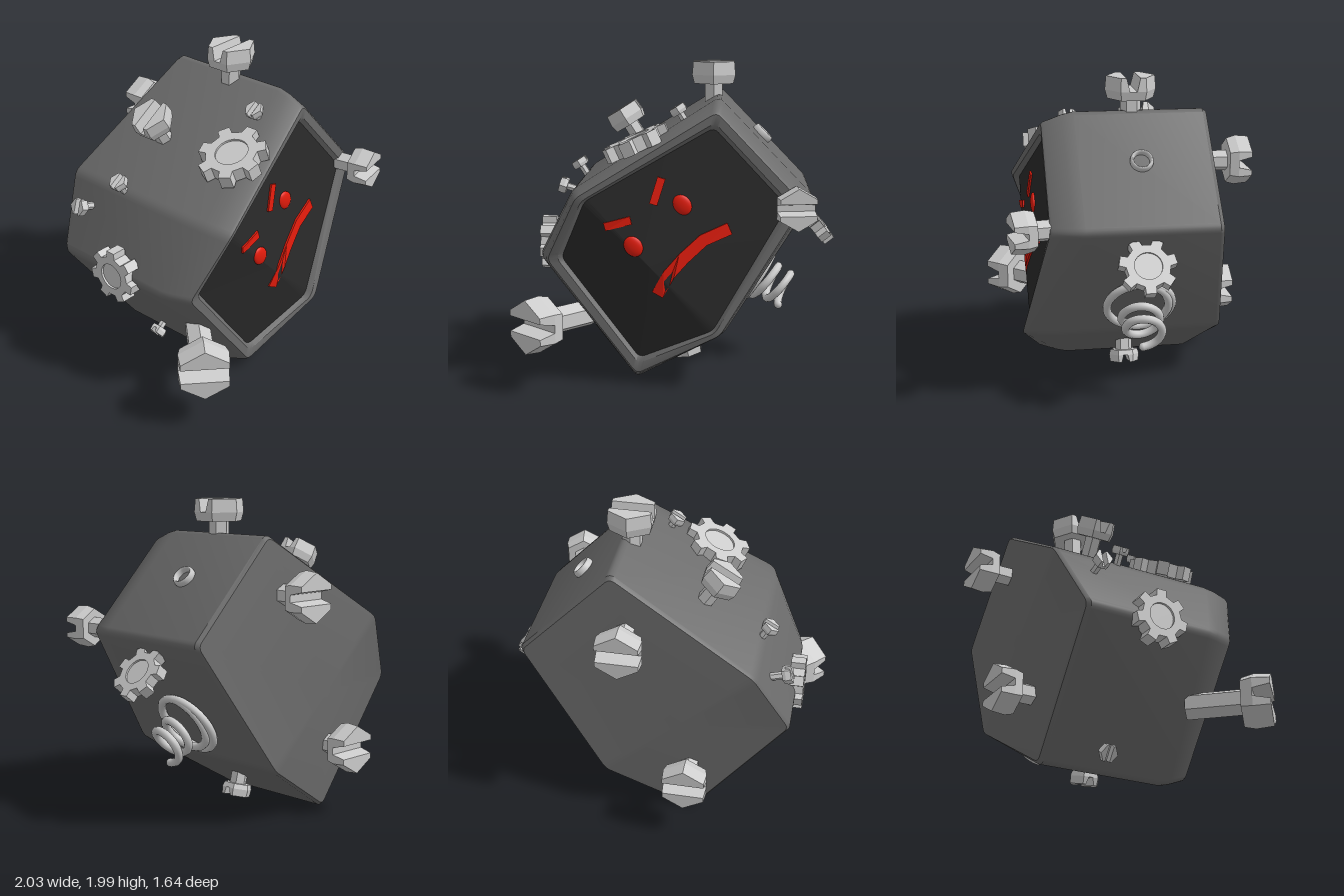
import * as THREE from 'three';
import { toCreasedNormals } from 'three/addons/utils/BufferGeometryUtils.js';

const V = (x, y, z) => new THREE.Vector3(x, y, z);
const mat = (color, side = THREE.FrontSide) => new THREE.MeshStandardMaterial({ color, side });
const grey = mat(0xcccccc);
const greyFlat = mat(0xcccccc);
greyFlat.flatShading = true;
const bodyMat = mat(0x6c6c6c);
const panelMat = mat(0x2a2a2a);
const redMat = mat(0xe51c0c, THREE.DoubleSide);

// Six corners of the block, outer edge and face panel, counter-clockwise
const OUTER = [[0.27, 1.8], [-0.63, 1.24], [-0.86, 0.8], [-0.25, 0], [0.32, 0.36], [0.865, 1.18]];
const PANEL = [[0.24, 1.63], [-0.54, 1.19], [-0.7, 0.82], [-0.22, 0.18], [0.24, 0.39], [0.69, 1.15]];

// Cross-section between outer edge (t = 0) and panel (t = 1), with rounded corners.
// Two opposite corners (1 and 4) lie on a ridge and get their own depth.
function loop(t, z, zRidge, round = 0.04) {
  const c = OUTER.map(([x, y], i) => V(
    x + (PANEL[i][0] - x) * t, y + (PANEL[i][1] - y) * t, i % 3 === 1 ? zRidge : z));
  const points = [];
  c.forEach((p, i) => {
    const toward = (q) => p.clone().add(q.clone().sub(p).setLength(round));
    const curve = new THREE.QuadraticBezierCurve3(toward(c[(i + 5) % 6]), p, toward(c[(i + 1) % 6]));
    points.push(...curve.getPoints(4));
  });
  return points;
}

// Skin a list of loops (back to front), with optional fan caps
function loft(loops, backCentre, frontCentre, crease) {
  const pos = [];
  const tri = (...p) => p.forEach((v) => pos.push(v.x, v.y, v.z));
  const n = loops[0].length;
  for (let i = 0; i < n; i++) {
    const j = (i + 1) % n;
    for (let k = 0; k < loops.length - 1; k++) {
      tri(loops[k][i], loops[k][j], loops[k + 1][j]);
      tri(loops[k][i], loops[k + 1][j], loops[k + 1][i]);
    }
    const last = loops[loops.length - 1];
    if (backCentre) tri(backCentre, loops[0][j], loops[0][i]);
    if (frontCentre) tri(frontCentre, last[i], last[j]);
  }
  const g = new THREE.BufferGeometry();
  g.setAttribute('position', new THREE.Float32BufferAttribute(pos, 3));
  return toCreasedNormals(g, crease);
}

function add(parent, name, geometry, material) {
  const m = new THREE.Mesh(geometry, material);
  m.name = name;
  parent.add(m);
  return m;
}

// Group whose local y points along dir and local x close to side
function mount(parent, name, pos, dir, side) {
  const g = new THREE.Group();
  g.name = name;
  const y = V(...dir).normalize();
  const z = V(...side).cross(y).normalize();
  g.quaternion.setFromRotationMatrix(new THREE.Matrix4().makeBasis(y.clone().cross(z), y, z));
  g.position.set(...pos);
  parent.add(g);
  return g;
}

// Slotted hexagonal bolt; pos is the underside of the head, the slot runs along side
function bolt(parent, name, pos, dir, side, r, h, shaftR, shaftL) {
  const g = mount(parent, name, pos, dir, side);
  add(g, 'shaft', new THREE.CylinderGeometry(shaftR, shaftR, shaftL, 6).translate(0, -shaftL / 2 + 0.005, 0), greyFlat);
  const base = h * 0.4;
  add(g, 'headBase', new THREE.CylinderGeometry(r, r * 0.9, base, 6).translate(0, base / 2, 0), greyFlat);
  const w = r * 0.866, s = r * 0.14;
  const half = new THREE.Shape([[w, s], [w, r / 2], [0, r], [-w, r / 2], [-w, s]].map((p) => new THREE.Vector2(...p)));
  const geo = new THREE.ExtrudeGeometry(half, { depth: h - base, bevelEnabled: false });
  const p = geo.attributes.position;
  for (let i = 0; i < p.count; i++) {
    // slot opens and the outside narrows slightly towards the top
    if (p.getZ(i) < 1e-6) continue;
    if (p.getY(i) < s * 1.01) p.setY(i, s * 1.9);
    else p.setY(i, p.getY(i) * 0.95);
    p.setX(i, p.getX(i) * 0.95);
  }
  geo.rotateX(-Math.PI / 2).translate(0, base, 0);
  for (const a of [0, Math.PI]) add(g, 'headHalf', geo, greyFlat).rotation.y = a;
}

// Cog with a recessed round centre; pos is the middle of its thickness
function cog(parent, name, pos, dir, side, r, h) {
  const g = mount(parent, name, pos, dir, side);
  const teeth = 7, pts = [];
  for (let i = 0; i < teeth; i++) {
    for (const [f, k] of [[-0.28, 0.76], [-0.2, 1], [0.2, 1], [0.28, 0.76]]) {
      const a = ((i + f) / teeth) * Math.PI * 2;
      pts.push(new THREE.Vector2(Math.cos(a) * r * k, Math.sin(a) * r * k));
    }
  }
  const shape = new THREE.Shape(pts);
  shape.holes.push(new THREE.Path().absarc(0, 0, r * 0.48, 0, Math.PI * 2, true));
  const geo = new THREE.ExtrudeGeometry(shape, { depth: h, bevelEnabled: false, curveSegments: 12 });
  add(g, 'teeth', geo.translate(0, 0, -h / 2).rotateX(-Math.PI / 2), greyFlat);
  add(g, 'hub', new THREE.CylinderGeometry(r * 0.49, r * 0.49, h * 0.7, 24), grey);
}

// Depth of the ridged panel at a point of the face
function panelZ(x, y) {
  const d = (x + 0.54) * 0.716 + (y - 1.19) * 0.698;
  return 0.59 - (d > 0 ? d * 0.128 : -d * 0.26);
}

// Thin red strip following a path on the panel
function strip(parent, name, path, width) {
  const p = path.map(([x, y]) => new THREE.Vector2(x, y));
  const edge = (s) => p.map((q, i) => {
    const t = p[Math.min(i + 1, p.length - 1)].clone().sub(p[Math.max(i - 1, 0)]).normalize();
    return new THREE.Vector2(q.x - t.y * s, q.y + t.x * s);
  });
  const shape = new THREE.Shape([...edge(-width / 2), ...edge(width / 2).reverse()]);
  const geo = new THREE.ExtrudeGeometry(shape, { depth: 0.03, bevelEnabled: false });
  const a = geo.attributes.position;
  for (let i = 0; i < a.count; i++) a.setZ(i, a.getZ(i) - 0.018 + panelZ(a.getX(i), a.getY(i)));
  geo.computeVertexNormals();
  add(parent, name, geo, redMat);
}

export function createModel() {
  const model = new THREE.Group();
  model.name = 'scrapBlock';

  // Body with bevelled front rim, and the dark face set into it
  add(model, 'body', loft([
    loop(0.12, -0.53, -0.64), loop(0, -0.505, -0.615), loop(0, 0.3, 0.45),
    loop(0.1, 0.37, 0.53), loop(0.36, 0.485, 0.625), loop(0.45, 0.5, 0.64),
    loop(0.82, 0.5, 0.63), loop(1, 0.48, 0.59),
  ], V(-0.155, 0.8, -0.64), null, 0.6), bodyMat);
  add(model, 'facePanel', loft([loop(1, 0.48, 0.59)], null, V(-0.15, 0.79, 0.59), 0.1), panelMat);

  // Face
  for (const [x, y] of [[0.05, 1.165], [-0.245, 0.915]]) {
    const eye = add(model, 'eye', new THREE.SphereGeometry(1, 24, 12), redMat);
    eye.scale.set(0.055, 0.067, 0.02);
    eye.position.set(x, y, panelZ(x, y));
    eye.rotation.z = 0.6;
  }
  strip(model, 'eyebrow', [[-0.075, 1.33], [-0.125, 1.17]], 0.05);
  strip(model, 'eyebrow', [[-0.42, 1.035], [-0.26, 1.075]], 0.05);
  strip(model, 'mouth', [[-0.1, 0.61], [-0.03, 0.74], [0.06, 0.84], [0.18, 0.95], [0.34, 1.02]], 0.075);

  // Large bolts
  const roof = [-0.53, 0.85, 0], X = [1, 0, 0], along = [0.85, 0.53, 0];
  bolt(model, 'topBolt', [0.23, 1.86, -0.06], [0, 1, 0], X, 0.16, 0.14, 0.065, 0.2);
  bolt(model, 'backBolt', [0.17, 1.43, -0.69], [0, 0, -1], X, 0.16, 0.14, 0.065, 0.2);
  bolt(model, 'backBolt', [-0.23, 0.44, -0.69], [0, 0, -1], X, 0.16, 0.14, 0.065, 0.2);
  bolt(model, 'cornerBolt', [0.725, 1.17, 0.59], [0.16, 0, 0.99], X, 0.135, 0.14, 0.065, 0.2);
  bolt(model, 'leftBolt', [-0.775, 0.43, 0.58], [-0.68, 0, 0.73], X, 0.18, 0.18, 0.085, 0.35);
  bolt(model, 'roofBolt', [-0.32, 1.58, -0.2], roof, along, 0.13, 0.12, 0.055, 0.2);
  bolt(model, 'bottomBolt', [0.055, 0.125, -0.05], [0.25, -0.97, 0], X, 0.1, 0.08, 0.055, 0.15);

  // Small bolts
  bolt(model, 'smallBolt', [0.03, 1.7, 0.31], roof, along, 0.06, 0.05, 0.025, 0.1);
  bolt(model, 'smallBolt', [-0.65, 1.295, -0.2], roof, along, 0.06, 0.05, 0.025, 0.1);
  bolt(model, 'smallBolt', [-0.78, 1.12, -0.41], [-0.95, 0.3, 0], [0.3, 0.95, 0], 0.06, 0.055, 0.025, 0.12);
  bolt(model, 'smallBolt', [-0.385, 0.11, -0.15], [-0.8, -0.6, 0], [0.6, -0.8, 0], 0.06, 0.05, 0.025, 0.1);

  // Cogs
  cog(model, 'roofCog', [-0.24, 1.52, 0.36], [-0.4, 0.9, 0], along, 0.215, 0.09);
  cog(model, 'leftCog', [-0.85, 0.805, -0.06], [-1, 0, 0], [0, 1, 0], 0.175, 0.095);
  cog(model, 'rightCog', [0.885, 0.965, -0.06], [0.78, 0.63, 0], [0.63, -0.78, 0], 0.175, 0.075);

  // Ring on the upper right slope
  const ring = mount(model, 'ring', [0.545, 1.53, -0.08], [0.72, 0.69, 0], [0.69, -0.72, 0]);
  add(ring, 'ringBand', new THREE.TorusGeometry(0.06, 0.012, 10, 32).scale(1, 1, 2.5).rotateX(Math.PI / 2), grey);

  // Spring: a flat outer turn, then a narrower coil winding outwards
  const spring = mount(model, 'spring', [0.515, 0.61, -0.075], [0.84, -0.54, 0], [0.54, 0.84, 0]);
  const pts = [];
  for (let i = 0; i <= 112; i++) {
    const a = (i / 112) * Math.PI * 7;
    const u = Math.max(0, (a - Math.PI * 2) / (Math.PI * 5));
    const r = 0.11 + 0.095 * Math.max(0, 1 - u * 3);
    pts.push(V(Math.cos(a) * r, 0.01 + 0.24 * u, Math.sin(a) * r));
  }
  add(spring, 'coil', new THREE.TubeGeometry(new THREE.CatmullRomCurve3(pts), 200, 0.027, 10), grey);
  const end = add(spring, 'coilEnd', new THREE.SphereGeometry(0.027, 10, 8), grey);
  end.position.copy(pts[pts.length - 1]);

  return model;
}
